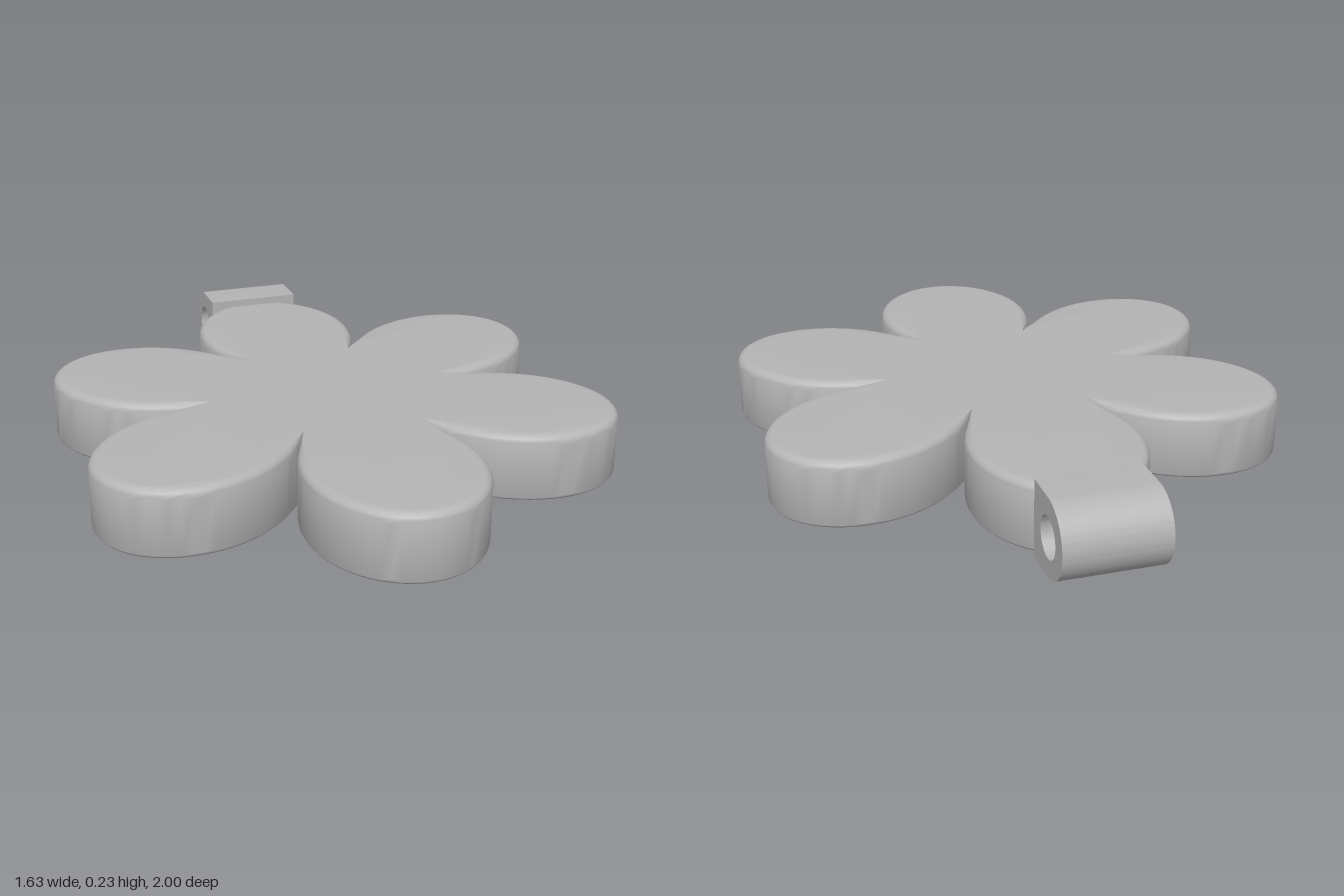
import * as THREE from 'three';
import { mergeGeometries, toCreasedNormals } from 'three/addons/utils/BufferGeometryUtils.js';

const CENTRE_Z = 0.095, HEIGHT = 0.21, PETALS = 6;
const TOP_ROUND = 0.03, BOTTOM_ROUND = 0.015;
const POCKET_R = 0.178, POCKET_DEPTH = 0.12;

// Right half of one petal (axis along +y), from the notch to the tip, then mirrored
function petalPoints() {
  const half = new THREE.CurvePath();
  half.add(new THREE.CubicBezierCurve(
    new THREE.Vector2(0.177, 0.307), new THREE.Vector2(0.227, 0.394),
    new THREE.Vector2(0.263, 0.48), new THREE.Vector2(0.263, 0.585)));
  half.add(new THREE.EllipseCurve(0, 0.585, 0.263, 0.32, 0, Math.PI / 2));
  const right = half.getSpacedPoints(24);
  const left = right.slice(1, -1).reverse().map(p => new THREE.Vector2(-p.x, p.y));
  return [...right, ...left]; // the last notch belongs to the next petal
}

// Whole flower outline, counter-clockwise
function flowerOutline() {
  const petal = petalPoints(), origin = new THREE.Vector2();
  const out = [];
  for (let i = 0; i < PETALS; i++) {
    for (const p of petal) out.push(p.clone().rotateAround(origin, i * Math.PI * 2 / PETALS));
  }
  return out;
}

// Outline moved inwards; the rounding fades out towards the notches
function inset(outline, d) {
  const n = outline.length;
  return outline.map((p, i) => {
    const t = outline[(i + 1) % n].clone().sub(outline[(i + n - 1) % n]).normalize();
    const k = d * THREE.MathUtils.smoothstep(p.length(), 0.355, 0.5);
    return new THREE.Vector2(p.x - t.y * k, p.y + t.x * k);
  });
}

function bare(geometry) {
  const g = geometry.index ? geometry.toNonIndexed() : geometry;
  g.deleteAttribute('uv');
  g.deleteAttribute('normal');
  return g;
}

function flowerGeometry() {
  const outline = flowerOutline(), n = outline.length, steps = 5;
  // Edge profile: [inset, height] from the bottom to the top
  const profile = [];
  for (let i = 0; i <= steps; i++) {
    const a = i / steps * Math.PI / 2;
    profile.push([BOTTOM_ROUND * (1 - Math.sin(a)), BOTTOM_ROUND * (1 - Math.cos(a))]);
  }
  for (let i = 0; i <= steps; i++) {
    const a = i / steps * Math.PI / 2;
    profile.push([TOP_ROUND * (1 - Math.cos(a)), HEIGHT - TOP_ROUND * (1 - Math.sin(a))]);
  }
  const pos = [], index = [];
  profile.forEach(([d, y], r) => {
    for (const p of inset(outline, d)) pos.push(p.x, y, -p.y);
    if (r === 0) return;
    for (let i = 0; i < n; i++) {
      const j = (i + 1) % n, a = (r - 1) * n, b = r * n;
      index.push(a + i, a + j, b + j, a + i, b + j, b + i);
    }
  });
  const side = new THREE.BufferGeometry();
  side.setAttribute('position', new THREE.Float32BufferAttribute(pos, 3));
  side.setIndex(index);

  // Flat faces, the lower one with the pocket opening
  const top = new THREE.ShapeGeometry(new THREE.Shape(inset(outline, TOP_ROUND)));
  top.rotateX(-Math.PI / 2).translate(0, HEIGHT, 0);
  const lower = new THREE.Shape(inset(outline, BOTTOM_ROUND));
  lower.holes.push(new THREE.Path().absarc(0, 0, POCKET_R, 0, Math.PI * 2, true));
  const bottom = new THREE.ShapeGeometry(lower, 24).rotateX(Math.PI / 2);
  return toCreasedNormals(mergeGeometries([side, top, bottom].map(bare)), 0.6);
}

export function createModel() {
  const group = new THREE.Group();
  const grey = new THREE.MeshStandardMaterial({ color: 0xb4b4b4 });
  grey.name = 'plain grey';
  const add = (name, geometry, z) => {
    const mesh = new THREE.Mesh(geometry, grey);
    mesh.name = name;
    mesh.position.z = z;
    group.add(mesh);
  };

  add('flowerBody', flowerGeometry(), CENTRE_Z);

  // Round blind pocket in the underside
  const pocket = new THREE.LatheGeometry([
    new THREE.Vector2(0, POCKET_DEPTH), new THREE.Vector2(POCKET_R, POCKET_DEPTH),
    new THREE.Vector2(POCKET_R, 0)], 48);
  add('undersidePocket', toCreasedNormals(pocket, 0.6), CENTRE_Z);

  // Hanging loop at the back: rounded block with a sideways hole
  const R = 0.1175, width = 0.314;
  const loop = new THREE.Shape();
  loop.moveTo(-0.1175, -R);
  loop.lineTo(0, -R);
  loop.absarc(0, 0, R, -Math.PI / 2, Math.PI / 2, false);
  loop.lineTo(-0.1175, R);
  loop.closePath();
  loop.holes.push(new THREE.Path().absarc(0, 0, 0.062, 0, Math.PI * 2, true));
  const loopGeometry = new THREE.ExtrudeGeometry(loop, { depth: width, bevelEnabled: false, curveSegments: 24 });
  loopGeometry.translate(0, 0, -width / 2).rotateY(Math.PI / 2).translate(0, R, 0);
  add('hangingLoop', toCreasedNormals(loopGeometry, 0.6), -0.8825);

  return group;
}
